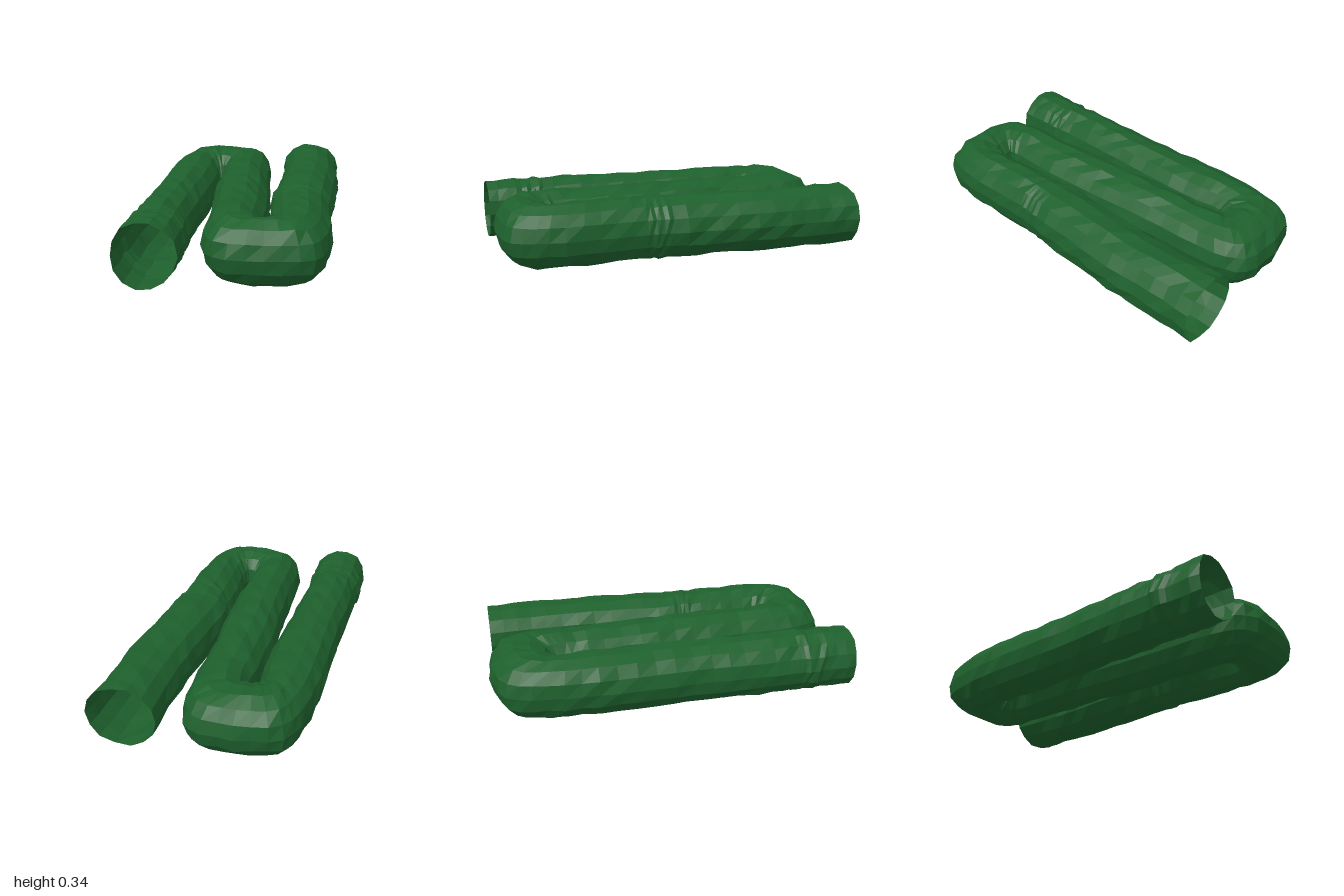
import * as THREE from 'three';

const SIDES = 14, STEPS = 3, HALF_HEIGHT = 0.168, MID_Y = 0.186;

// Cross-sections along the folded tube: [right edge x, z, left edge x, z]
const SECTIONS = [
  [-0.555, 0.96, -0.235, 0.96],
  [-0.55, 0.80, -0.235, 0.80],
  [-0.56, 0.71, -0.23, 0.71],
  [-0.545, 0.64, -0.235, 0.64],
  [-0.55, 0.42, -0.23, 0.42],
  [-0.53, 0.15, -0.22, 0.15],
  [-0.53, -0.15, -0.205, -0.15],
  [-0.53, -0.45, -0.2, -0.45],
  // first fold, pinched on the inside
  [-0.505, -0.72, -0.215, -0.57],
  [-0.43, -0.92, -0.21, -0.62],
  [-0.2, -0.985, -0.2, -0.63],
  [0.03, -0.955, -0.19, -0.62],
  [0.105, -0.8, -0.185, -0.57],
  [0.12, -0.45, -0.195, -0.45],
  [0.135, -0.15, -0.195, -0.15],
  [0.15, 0.15, -0.175, 0.15],
  [0.155, 0.45, -0.16, 0.45],
  // second fold
  [0.145, 0.64, -0.15, 0.76],
  [0.15, 0.68, -0.08, 0.935],
  [0.165, 0.69, 0.165, 0.98],
  [0.18, 0.68, 0.4, 0.935],
  [0.185, 0.62, 0.475, 0.76],
  [0.165, 0.42, 0.49, 0.5],
  [0.16, 0.25, 0.49, 0.25],
  [0.165, 0.18, 0.495, 0.18],
  [0.15, 0.11, 0.505, 0.11],
  [0.17, -0.15, 0.525, -0.15],
  [0.195, -0.45, 0.55, -0.45],
  [0.2, -0.72, 0.55, -0.72],
  [0.195, -0.96, 0.56, -0.96],
];

// Repeatable value in -1..1 for the crumpled surface
function lump(i, j) {
  const s = Math.sin(i * 12.99 + j * 78.23) * 43758.55;
  return (s - Math.floor(s)) * 2 - 1;
}

function foldedTubeGeometry() {
  const edge = (k) => new THREE.CatmullRomCurve3(
    SECTIONS.map((s) => new THREE.Vector3(s[k], MID_Y, s[k + 1])), false, 'centripetal');
  const right = edge(0), left = edge(2);
  const rings = (SECTIONS.length - 1) * STEPS;
  const positions = [], indices = [];

  for (let i = 0; i <= rings; i++) {
    const a = right.getPoint(i / rings), b = left.getPoint(i / rings);
    const centre = a.clone().add(b).multiplyScalar(0.5);
    const across = a.clone().sub(b);
    const halfWidth = across.length() / 2;
    across.normalize();
    const round = Math.min(halfWidth, HALF_HEIGHT);
    const flat = halfWidth - round;
    for (let j = 0; j < SIDES; j++) {
      const angle = (j / SIDES) * Math.PI * 2;
      const c = Math.cos(angle), s = Math.sin(angle);
      const crumple = 1 + 0.045 * lump(i, j);
      const u = (c * round + Math.sign(c) * flat * Math.min(1, Math.abs(c) * 2)) * crumple;
      const y = Math.max(0, MID_Y + s * HALF_HEIGHT * crumple);
      positions.push(centre.x + across.x * u, y, centre.z + across.z * u);
      if (i < rings) {
        const k = (j + 1) % SIDES, p = i * SIDES, q = p + SIDES;
        indices.push(p + j, p + k, q + j, p + k, q + k, q + j);
      }
    }
  }
  const geometry = new THREE.BufferGeometry();
  geometry.setAttribute('position', new THREE.Float32BufferAttribute(positions, 3));
  geometry.setIndex(indices);
  geometry.computeVertexNormals();
  return geometry;
}

export function createModel() {
  const group = new THREE.Group();
  group.name = 'foldedTube';
  // Open-ended cloth tube folded twice into an S
  const tube = new THREE.Mesh(foldedTubeGeometry(), new THREE.MeshStandardMaterial({
    color: 0x1e602d, flatShading: true, side: THREE.DoubleSide,
  }));
  tube.name = 'clothTube';
  group.add(tube);
  return group;
}
